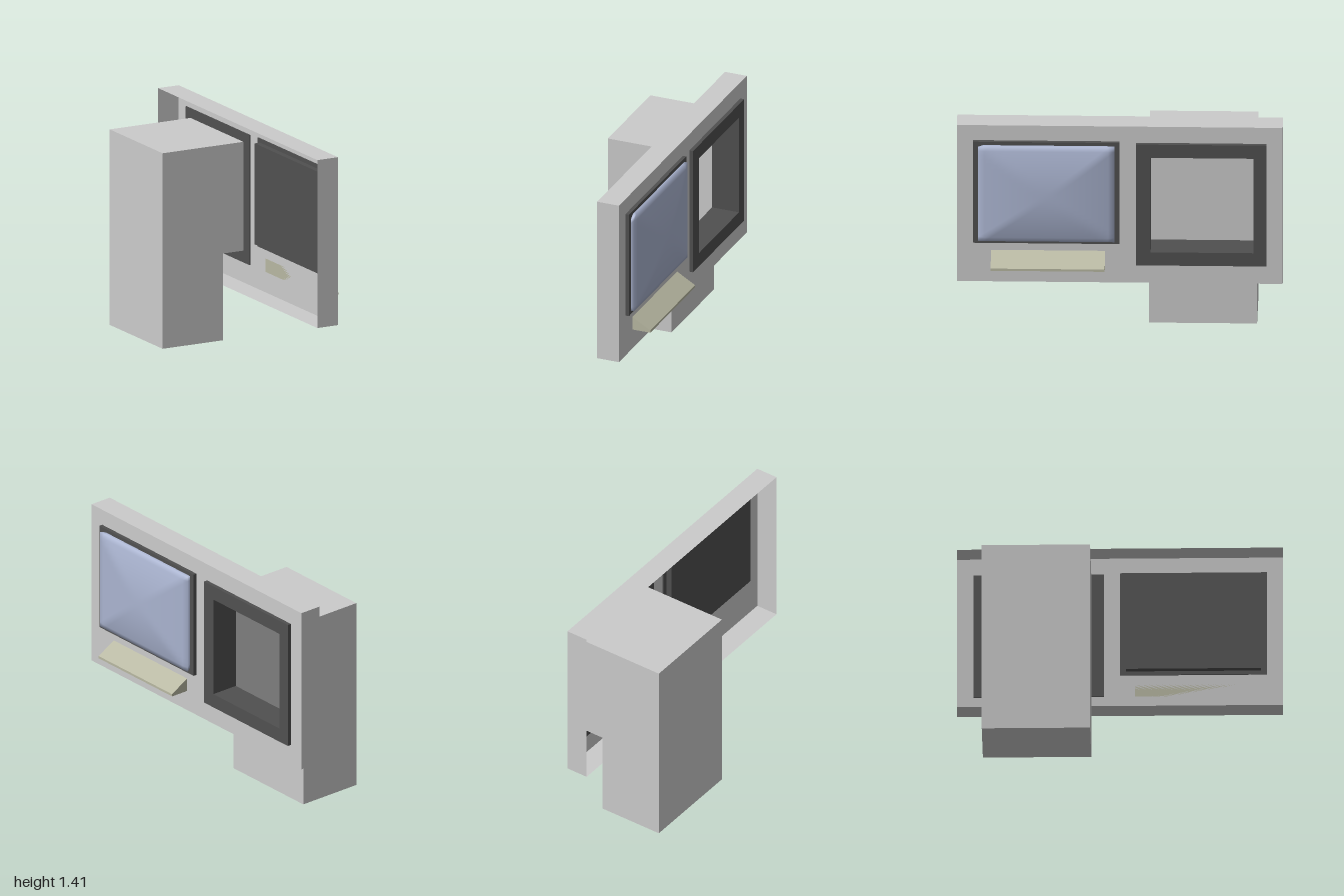
import * as THREE from 'three';

const paint = (color) => new THREE.MeshStandardMaterial({ color, side: THREE.DoubleSide });

// Corners of a rectangle, counter-clockwise
const rect = (x0, x1, y0, y1) => [[x0, y0], [x1, y0], [x1, y1], [x0, y1]];
const vectors = (points) => points.map(([x, y]) => new THREE.Vector2(x, y));

// Thin wall: a polyline swept straight from depth z0 to z1
function wall(points, z0, z1) {
  const pos = [];
  for (let i = 0; i < points.length - 1; i++) {
    const [ax, ay] = points[i], [bx, by] = points[i + 1];
    pos.push(ax, ay, z0, bx, by, z0, bx, by, z1, ax, ay, z0, bx, by, z1, ax, ay, z1);
  }
  const geo = new THREE.BufferGeometry();
  geo.setAttribute('position', new THREE.Float32BufferAttribute(pos, 3));
  geo.computeVertexNormals();
  return geo;
}
const closedWall = (points, z0, z1) => wall([...points, points[0]], z0, z1);

// Domed glass made of concentric rectangular rings, with a short straight rim
function domedGlass(width, height, rim, bulge) {
  const rings = 12;
  const geo = new THREE.PlaneGeometry(2, 2, rings * 2, rings * 2);
  const p = geo.attributes.position;
  for (let i = 0; i < p.count; i++) {
    const x = p.getX(i), y = p.getY(i);
    const d = Math.max(Math.abs(x), Math.abs(y));
    const k = Math.round(d * rings);
    const t = Math.min(1, k / (rings - 1));
    const s = d > 0 ? t / d : 0;
    const z = k === rings ? 0 : rim + bulge * (1 - t * t);
    p.setXYZ(i, x * s * width / 2, y * s * height / 2, z);
  }
  geo.computeVertexNormals();
  return geo;
}

export function createModel() {
  const model = new THREE.Group();
  const grey = paint(0xcccccc), dark = paint(0x505050);
  const blue = paint(0xaab4d0), beige = paint(0xb8b8a2);

  const add = (parent, name, geo, mat, x = 0, y = 0, z = 0) => {
    const mesh = new THREE.Mesh(geo, mat);
    mesh.name = name;
    mesh.position.set(x, y, z);
    parent.add(mesh);
    return mesh;
  };

  // Hollow cabinet with a stepped front, open behind the window
  const cabinet = new THREE.Group();
  cabinet.name = 'cabinet';
  model.add(cabinet);
  const profile = [[0.225, 1.24], [-0.35, 1.24], [-0.35, 0], [0.075, 0], [0.075, 0.55], [0.225, 0.55]];
  add(cabinet, 'cabinetShell', wall(profile, -0.84, -0.175), grey);
  for (const z of [-0.84, -0.175]) {
    add(cabinet, 'cabinetSide', new THREE.ShapeGeometry(new THREE.Shape(vectors(profile))), grey, 0, 0, z);
  }

  // Everything on the panel is drawn facing local +z, then turned to face +x
  const panel = new THREE.Group();
  panel.name = 'panel';
  panel.rotation.y = Math.PI / 2;
  model.add(panel);

  // Panel: front sheet with a window cut out, and a rim left open at the back
  const outline = rect(-1, 1, 0.345, 1.41);
  const opening = rect(0.19, 0.82, 0.565, 1.21);
  const sheet = new THREE.Shape(vectors(outline));
  sheet.holes.push(new THREE.Path(vectors(opening)));
  add(panel, 'panelFront', new THREE.ShapeGeometry(sheet), grey, 0, 0, 0.225);
  add(panel, 'panelRim', closedWall(outline, 0.08, 0.225), grey);

  // Window frame and its deep lining
  const frame = new THREE.Shape(vectors(rect(0.1, 0.9, 0.475, 1.3)));
  frame.holes.push(new THREE.Path(vectors(opening)));
  add(panel, 'windowFrame', new THREE.ExtrudeGeometry(frame, { depth: 0.032, bevelEnabled: false }), dark, 0, 0, 0.218);
  add(panel, 'windowLining', closedWall(opening, 0.07, 0.249), dark);

  // Screen: bezel, back housing and domed glass
  add(panel, 'screenBezel', new THREE.BoxGeometry(0.9, 0.69, 0.03), dark, -0.45, 0.963, 0.233);
  add(panel, 'screenHousing', new THREE.BoxGeometry(0.83, 0.64, 0.05), dark, -0.45, 0.963, 0.205);
  add(panel, 'screenGlass', domedGlass(0.835, 0.645, 0.024, 0.047), blue, -0.45, 0.963, 0.245);

  // Wedge-shaped ledge under the screen
  const wedge = new THREE.Shape(vectors([[0.225, 0.475], [0.345, 0.475], [0.345, 0.49], [0.225, 0.56]]));
  add(model, 'ledge', new THREE.ExtrudeGeometry(wedge, { depth: 0.7, bevelEnabled: false }), beige, 0, 0, 0.09);

  return model;
}
